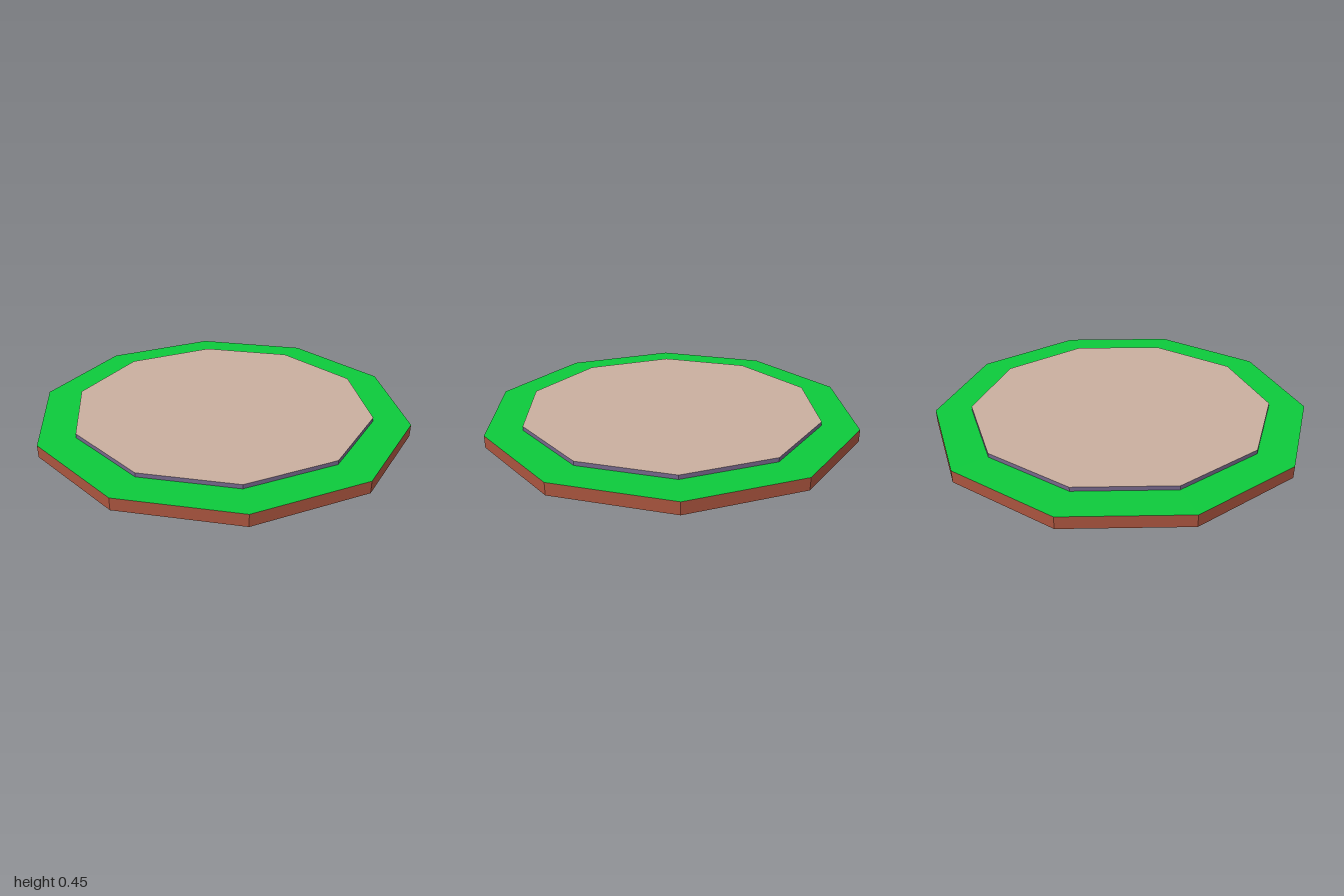
import * as THREE from 'three';

const SIDES = 10;
const mat = (name, color) => {
  const m = new THREE.MeshStandardMaterial({ color, flatShading: true });
  m.name = name;
  return m;
};

// Ten-sided slab with a corner on the x axis
function slab(name, radius, bottom, top, materials) {
  const h = top - bottom;
  const geo = new THREE.CylinderGeometry(radius, radius, h, SIDES, 1, false, Math.PI / 2);
  const mesh = new THREE.Mesh(geo, materials);
  mesh.name = name;
  mesh.position.y = bottom + h / 2;
  return mesh;
}

// Faceted rock narrowing from the rim to a broken, notched tip
function rockUnderside(material) {
  const K = [0.33, 0.14, 0.08], B = [-0.07, 0.005, 0.09], A = [-0.13, 0.015, 0.03];
  const V = [-0.07, 0.03, -0.06], D = [0.05, 0.015, -0.15], C = [0.09, 0.015, -0.03];
  const tip = [K, K, B, B, A, A, V, D, D, C]; // one tip point per rim corner
  const notch = [0.02, 0.04, 0.0];
  const corner = (i) => {
    const a = (i / SIDES) * Math.PI * 2;
    return [0.985 * Math.cos(a), 0.366, 0.985 * Math.sin(a)];
  };
  const pos = [];
  for (let i = 0; i < SIDES; i++) {
    const p = tip[i], q = tip[(i + 1) % SIDES];
    pos.push(...p, ...corner(i), ...corner(i + 1));
    if (p !== q) {
      pos.push(...p, ...corner(i + 1), ...q);
      pos.push(...notch, ...p, ...q);
    }
  }
  const geo = new THREE.BufferGeometry();
  geo.setAttribute('position', new THREE.Float32BufferAttribute(pos, 3));
  geo.computeVertexNormals();
  const mesh = new THREE.Mesh(geo, material);
  mesh.name = 'rockUnderside';
  return mesh;
}

export function createModel() {
  const earth = mat('earth brown', 0xa9543e);
  const grass = mat('grass green', 0x0dc93b);
  const sand = mat('pale sand', 0xc9af9f);
  const stone = mat('purple grey stone', 0x75678a);

  const group = new THREE.Group();
  group.name = 'floatingIsland';
  group.add(
    slab('grassRim', 1, 0.365, 0.43, [earth, grass, earth]),
    slab('stonePlatform', 0.805, 0.43, 0.452, [stone, sand, stone]),
    rockUnderside(earth)
  );
  return group;
}
